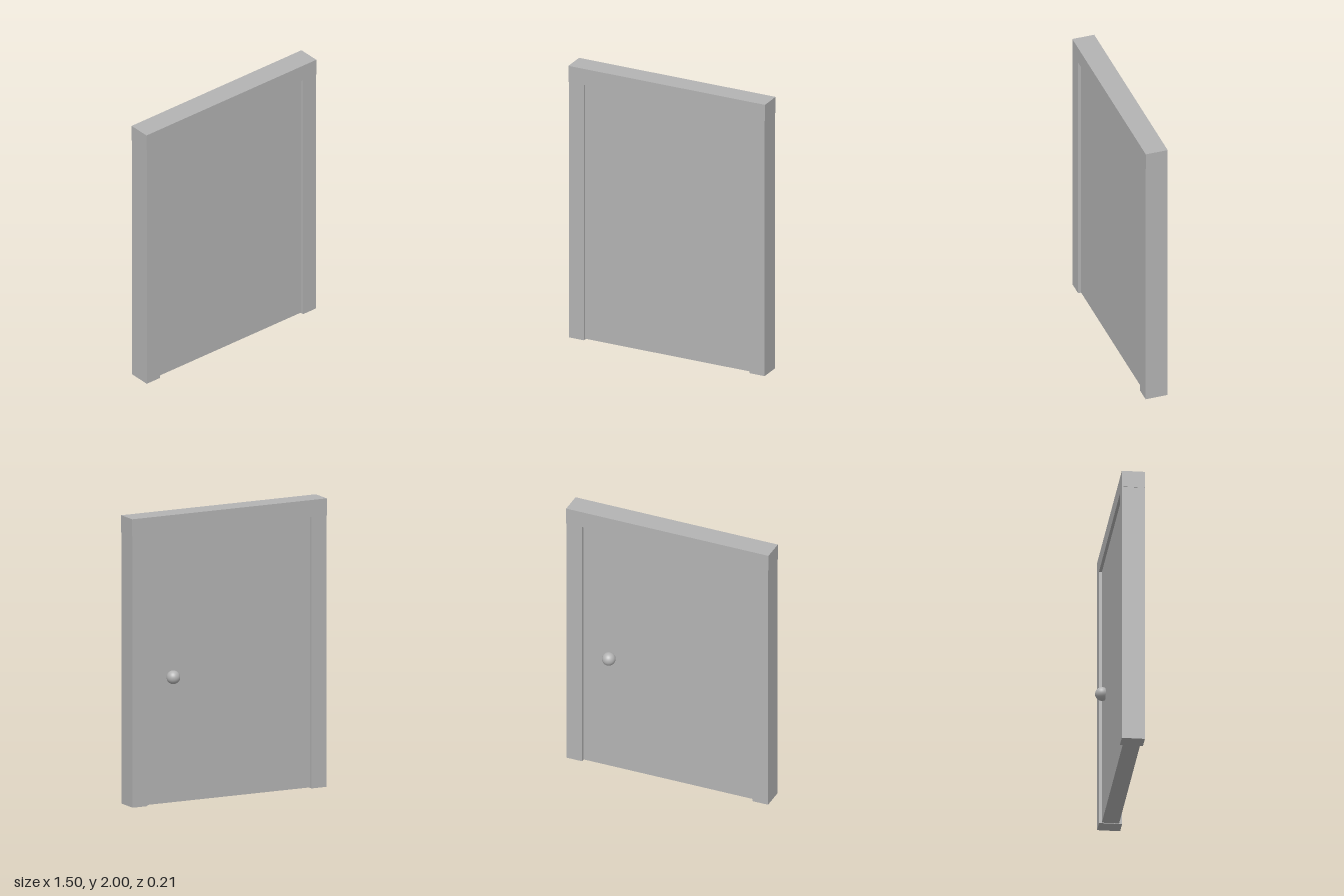
import * as THREE from 'three';

export function createModel() {
  const model = new THREE.Group();
  model.name = 'door';

  const grey = new THREE.MeshStandardMaterial({ color: 0xb3b3b3 });
  grey.name = 'grey';

  // Box given by its lower and upper limits on each axis
  function addBox(name, [x0, x1], [y0, y1], [z0, z1]) {
    const mesh = new THREE.Mesh(new THREE.BoxGeometry(x1 - x0, y1 - y0, z1 - z0), grey);
    mesh.position.set((x0 + x1) / 2, (y0 + y1) / 2, (z0 + z1) / 2);
    mesh.name = name;
    model.add(mesh);
  }

  const back = -0.055, front = 0.103; // frame depth
  const reveal = 0.02;                // door recess on both faces
  const opening = 0.632, springing = 1.882;

  // Frame: lintel slightly wider than the posts below it
  addBox('lintel', [-0.75, 0.75], [springing, 2], [back, front]);
  addBox('leftPost', [opening, 0.747], [0, springing], [back, front]);
  addBox('rightPost', [-0.747, -opening], [0, springing], [back, front]);

  // Door leaf, clear of the floor
  addBox('doorLeaf', [-opening, opening], [0.004, springing], [back + reveal, front - reveal]);

  // Round knob on the back face
  const knob = new THREE.Mesh(new THREE.SphereGeometry(0.047, 32, 20), grey);
  knob.position.set(0.434, 0.875, -0.057);
  knob.name = 'knob';
  model.add(knob);

  return model;
}
